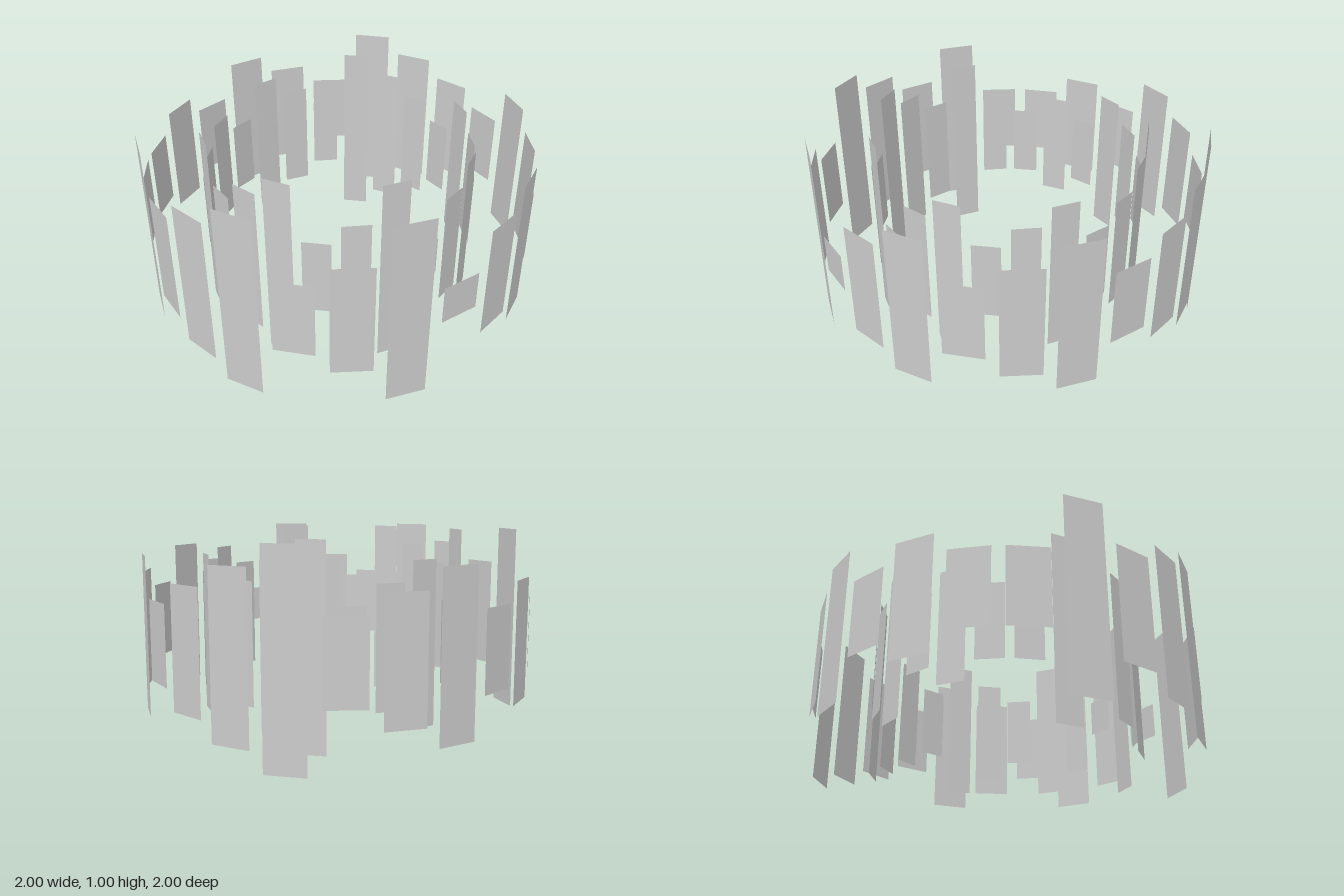
import * as THREE from 'three';

// Panel heights around a ring, from the front towards +x
const HEIGHTS = [
  0.8, 1.0, 0.4, 0.6, 1.0, 0.2, 0.6, 0.8, 0.4, 0.6, 0.8, 0.4,
  0.6, 0.8, 1.0, 0.4, 0.6, 0.8, 0.4, 0.6, 0.4, 0.4, 1.0, 0.6,
];

// Circle of thin upright panels, all centred on the same level
function panelRing(name, radius, width, turn, material) {
  const ring = new THREE.Group();
  ring.name = name;
  HEIGHTS.forEach((height, i) => {
    const angle = (i / HEIGHTS.length) * Math.PI * 2 + turn;
    const panel = new THREE.Mesh(new THREE.PlaneGeometry(width, height), material);
    panel.name = `${name}Panel${i + 1}`;
    panel.position.set(radius * Math.sin(angle), 0.5, radius * Math.cos(angle));
    panel.rotation.y = angle;
    ring.add(panel);
  });
  return ring;
}

export function createModel() {
  const model = new THREE.Group();
  model.name = 'panelRings';
  const material = new THREE.MeshStandardMaterial({ color: 0xcccccc, side: THREE.DoubleSide });

  // Outer ring, and a smaller ring inside it turned slightly
  model.add(panelRing('outerRing', 1, 0.2, 0, material));
  model.add(panelRing('innerRing', 0.7, 0.14, THREE.MathUtils.degToRad(3.2), material));
  return model;
}
